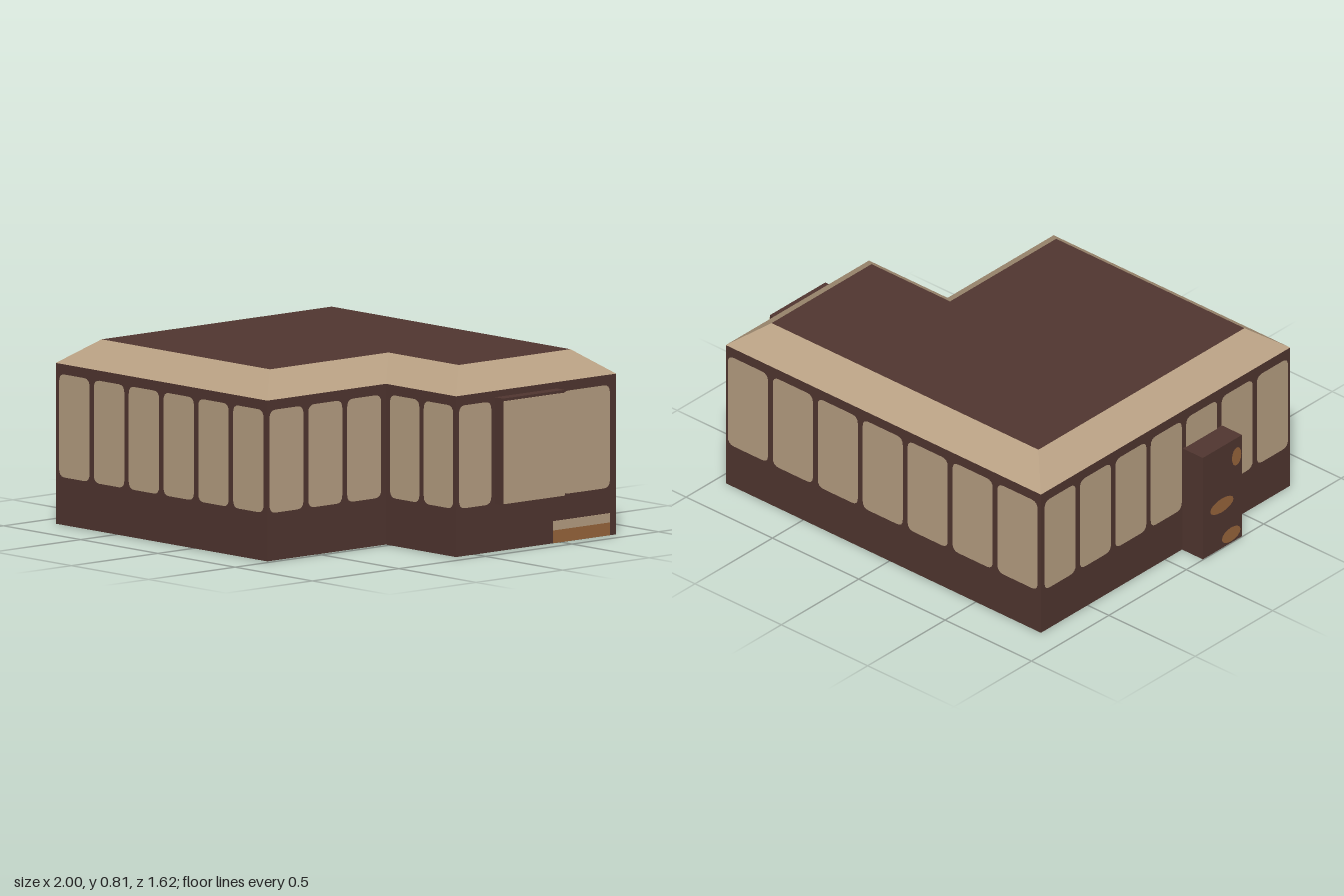
import * as THREE from 'three';

const mat = (name, color) => {
  const m = new THREE.MeshStandardMaterial({ color });
  m.name = name;
  return m;
};

// L-shaped footprint, moved inwards by d; corners as [x, z]
const footprint = d => [
  [-0.88 + d, -0.805 + d], [0.945 - d, -0.805 + d], [0.945 - d, 0.12 - d],
  [0.49 - d, 0.12 - d], [0.49 - d, 0.805 - d], [-0.88 + d, 0.805 - d],
];
const footprintShape = (d, sign) =>
  new THREE.Shape(footprint(d).map(([x, z]) => new THREE.Vector2(x, sign * z)));

// Sloping band between two footprint loops
function slopeGeometry(y0, y1, inset) {
  const lo = footprint(0), hi = footprint(inset), pos = [];
  lo.forEach((p, i) => {
    const j = (i + 1) % lo.length;
    const a = [p[0], y0, p[1]], b = [lo[j][0], y0, lo[j][1]];
    const c = [hi[i][0], y1, hi[i][1]], d = [hi[j][0], y1, hi[j][1]];
    pos.push(...a, ...c, ...b, ...b, ...c, ...d);
  });
  const g = new THREE.BufferGeometry();
  g.setAttribute('position', new THREE.Float32BufferAttribute(pos, 3));
  g.computeVertexNormals();
  return g;
}

// Rounded pane centred on the origin, facing +z
function paneGeometry(w, h, r) {
  const x = w / 2, y = h / 2, s = new THREE.Shape();
  s.moveTo(-x + r, -y);
  s.lineTo(x - r, -y).quadraticCurveTo(x, -y, x, -y + r);
  s.lineTo(x, y - r).quadraticCurveTo(x, y, x - r, y);
  s.lineTo(-x + r, y).quadraticCurveTo(-x, y, -x, y - r);
  s.lineTo(-x, -y + r).quadraticCurveTo(-x, -y, -x + r, -y);
  return new THREE.ShapeGeometry(s, 4);
}

export function createModel() {
  const brown = mat('dark brown', 0x513630);
  const beige = mat('beige', 0xb8a083);
  const wood = mat('orange wood', 0x99663c);
  const model = new THREE.Group();

  const add = (name, geo, material, x = 0, y = 0, z = 0, rotY = 0, parent = model) => {
    const m = new THREE.Mesh(geo, material);
    m.name = name;
    m.position.set(x, y, z);
    m.rotation.y = rotY;
    parent.add(m);
    return m;
  };
  const box = (name, material, x0, x1, y0, y1, z0, z1) =>
    add(name, new THREE.BoxGeometry(x1 - x0, y1 - y0, z1 - z0), material,
      (x0 + x1) / 2, (y0 + y1) / 2, (z0 + z1) / 2);

  // Walls, roof and floor
  const walls = new THREE.ExtrudeGeometry(footprintShape(0, -1), { depth: 0.702, bevelEnabled: false });
  add('walls', walls.rotateX(-Math.PI / 2), brown, 0, 0.003, 0);
  add('roofSlope', slopeGeometry(0.705, 0.81, 0.14), beige);
  add('roofTop', new THREE.ShapeGeometry(footprintShape(0.14, -1)).rotateX(-Math.PI / 2), brown, 0, 0.81, 0);
  add('floor', new THREE.ShapeGeometry(footprintShape(0.115, 1)).rotateX(Math.PI / 2), wood);

  // Windows: a wall plane, its facing angle and the spans of its panes
  const H = Math.PI / 2, gap = 0.004;
  const row = (from, to, n) => {
    const step = (to - from) / n;
    return Array.from({ length: n }, (_, i) => [from + i * step + 0.014, from + (i + 1) * step - 0.014]);
  };
  const windowRows = [
    { name: 'frontWindows', axis: 'z', at: 0.805 + gap, rot: 0, spans: row(-0.868, 0.484, 6) },
    { name: 'wingFrontWindows', axis: 'z', at: 0.12 + gap, rot: 0, spans: row(0.507, 0.944, 2) },
    { name: 'backWindows', axis: 'z', at: -0.805 - gap, rot: Math.PI, spans: row(-0.878, 0.943, 7) },
    { name: 'notchSideWindows', axis: 'x', at: 0.49 + gap, rot: H, spans: row(0.137, 0.81, 3) },
    { name: 'wingSideWindows', axis: 'x', at: 0.945 + gap, rot: H, spans: [[-0.765, -0.49], [-0.08, 0.107]] },
    { name: 'farSideWindows', axis: 'x', at: -0.88 - gap, rot: -H, spans: row(-0.8, 0.8, 7) },
  ];
  for (const { name, axis, at, rot, spans } of windowRows) {
    const group = new THREE.Group();
    group.name = name;
    model.add(group);
    for (const [a, b] of spans) {
      const mid = (a + b) / 2;
      const [x, z] = axis === 'z' ? [mid, at] : [at, mid];
      add('window', paneGeometry(b - a, 0.45, 0.035), beige, x, 0.437, z, rot, group);
    }
  }

  // Projecting bay with its large pane
  box('bayWindow', brown, 0.94, 0.996, 0.21, 0.677, -0.462, -0.105);
  box('bayPane', beige, 0.994, 1.0, 0.216, 0.665, -0.46, -0.108);

  // Low step panel on the wing side
  box('stepPanelUpper', beige, 0.942, 0.949, 0.06, 0.1, -0.765, -0.44);
  box('stepPanelLower', wood, 0.942, 0.949, 0.004, 0.06, -0.765, -0.44);

  // Block against the far side, with wooden patches
  box('sideBlock', brown, -0.997, -0.87, 0, 0.515, 0.11, 0.363);
  const patches = [[0.23, 0.22, 0.075, 0.035], [0.325, 0.425, 0.03, 0.045], [0.29, 0.045, 0.06, 0.035]];
  for (const [z, y, rz, ry] of patches) {
    const patch = add('sideBlockPatch', new THREE.CircleGeometry(1, 16), wood, -1, y, z, -H);
    patch.scale.set(rz, ry, 1);
  }

  return model;
}
